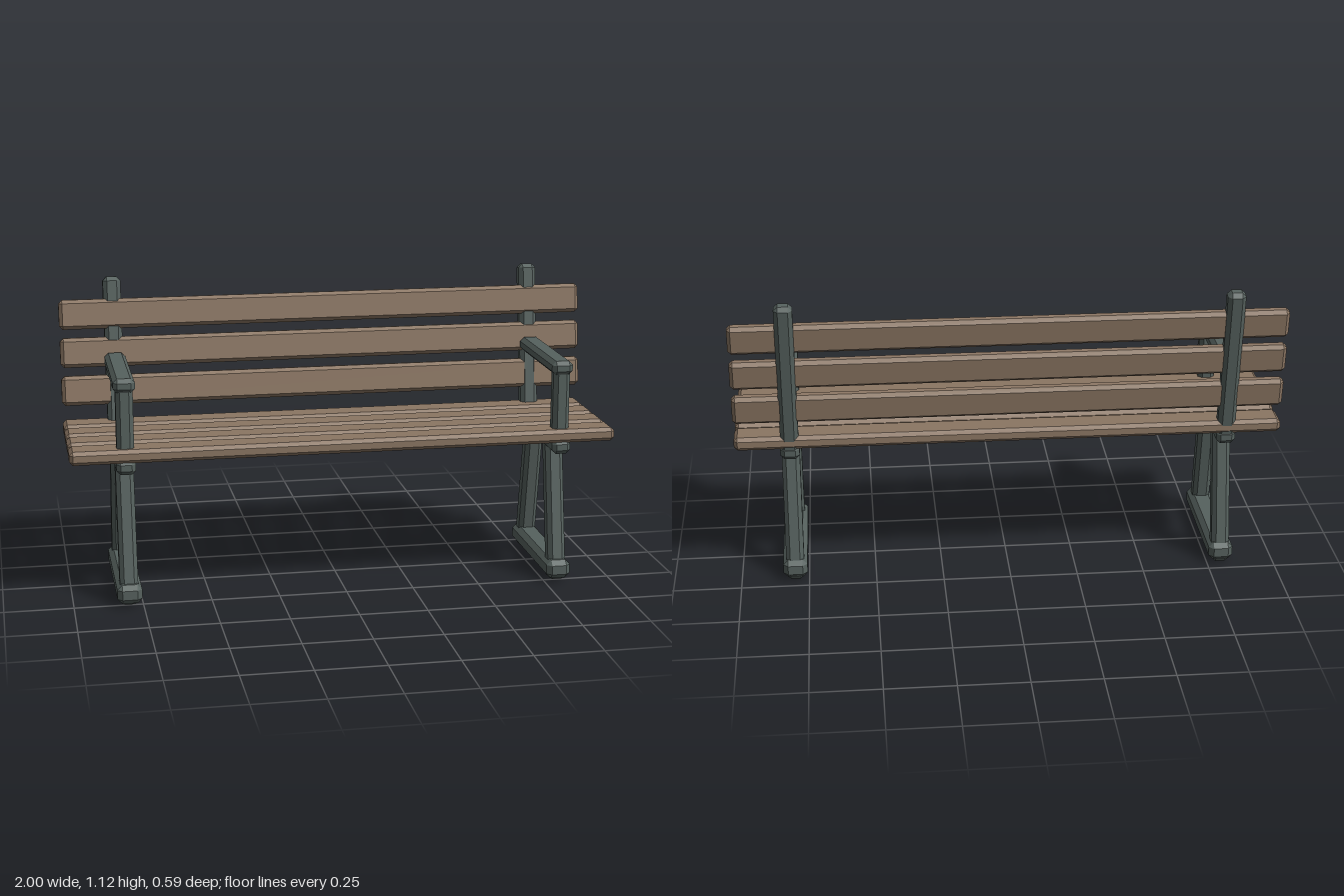
import * as THREE from 'three';
import { ConvexGeometry } from 'three/addons/geometries/ConvexGeometry.js';

const wood = new THREE.MeshStandardMaterial({ color: 0x8b7663, flatShading: true });
const metal = new THREE.MeshStandardMaterial({ color: 0x56615e, flatShading: true });

// Box with every edge and corner chamfered by c
function chamferBox(w, h, d, c) {
  const half = [w / 2, h / 2, d / 2];
  const points = [];
  for (const sx of [-1, 1]) for (const sy of [-1, 1]) for (const sz of [-1, 1]) {
    for (let full = 0; full < 3; full++) {
      const [x, y, z] = half.map((v, axis) => (axis === full ? v : v - c));
      points.push(new THREE.Vector3(sx * x, sy * y, sz * z));
    }
  }
  return new ConvexGeometry(points);
}

function part(name, size, pos, material, tilt = 0, chamfer = 0.015) {
  const mesh = new THREE.Mesh(chamferBox(...size, chamfer), material);
  mesh.name = name;
  mesh.position.set(...pos);
  mesh.rotation.x = tilt;
  return mesh;
}

// Upright or leaning beam between two [y, z] points
function beam(name, x, w, d, [y0, z0], [y1, z1]) {
  const length = Math.hypot(y1 - y0, z1 - z0);
  const tilt = Math.atan2(z1 - z0, y1 - y0);
  return part(name, [w, length, d], [x, (y0 + y1) / 2, (z0 + z1) / 2], metal, tilt);
}

// One end frame: foot, legs, seat rail, back post and armrest
function endFrame(name, x) {
  const frame = new THREE.Group();
  frame.name = name;
  frame.add(
    part('footRail', [0.09, 0.07, 0.517], [x, 0.05, 0.035], metal, 0, 0.018),
    beam('frontLeg', x, 0.066, 0.066, [0.004, 0.246], [0.52, 0.152]),
    beam('backLeg', x, 0.066, 0.066, [0.004, -0.188], [0.52, -0.096]),
    part('seatRail', [0.07, 0.053, 0.493], [x, 0.521, 0.035], metal),
    beam('backPost', x, 0.066, 0.057, [0.515, -0.178], [1.115, -0.266]),
    beam('armPost', x, 0.062, 0.057, [0.51, 0.236], [0.81, 0.236]),
    part('armrest', [0.078, 0.052, 0.467], [x, 0.816, 0.037], metal)
  );
  return frame;
}

export function createModel() {
  const bench = new THREE.Group();
  bench.name = 'bench';
  bench.add(endFrame('leftFrame', 0.8), endFrame('rightFrame', -0.8));

  // Seat slats, front to back
  for (let i = 0; i < 4; i++) {
    bench.add(part('seatSlat', [2, 0.05, 0.11], [0, 0.563, 0.23 - i * 0.13], wood, 0, 0.013));
  }

  // Backrest slats, lowest to highest, leaning with the posts
  for (let i = 0; i < 3; i++) {
    const pos = [0, 0.699 + i * 0.141, -0.2 - i * 0.018];
    bench.add(part('backSlat', [2, 0.11, 0.045], pos, wood, -0.146, 0.013));
  }
  return bench;
}
